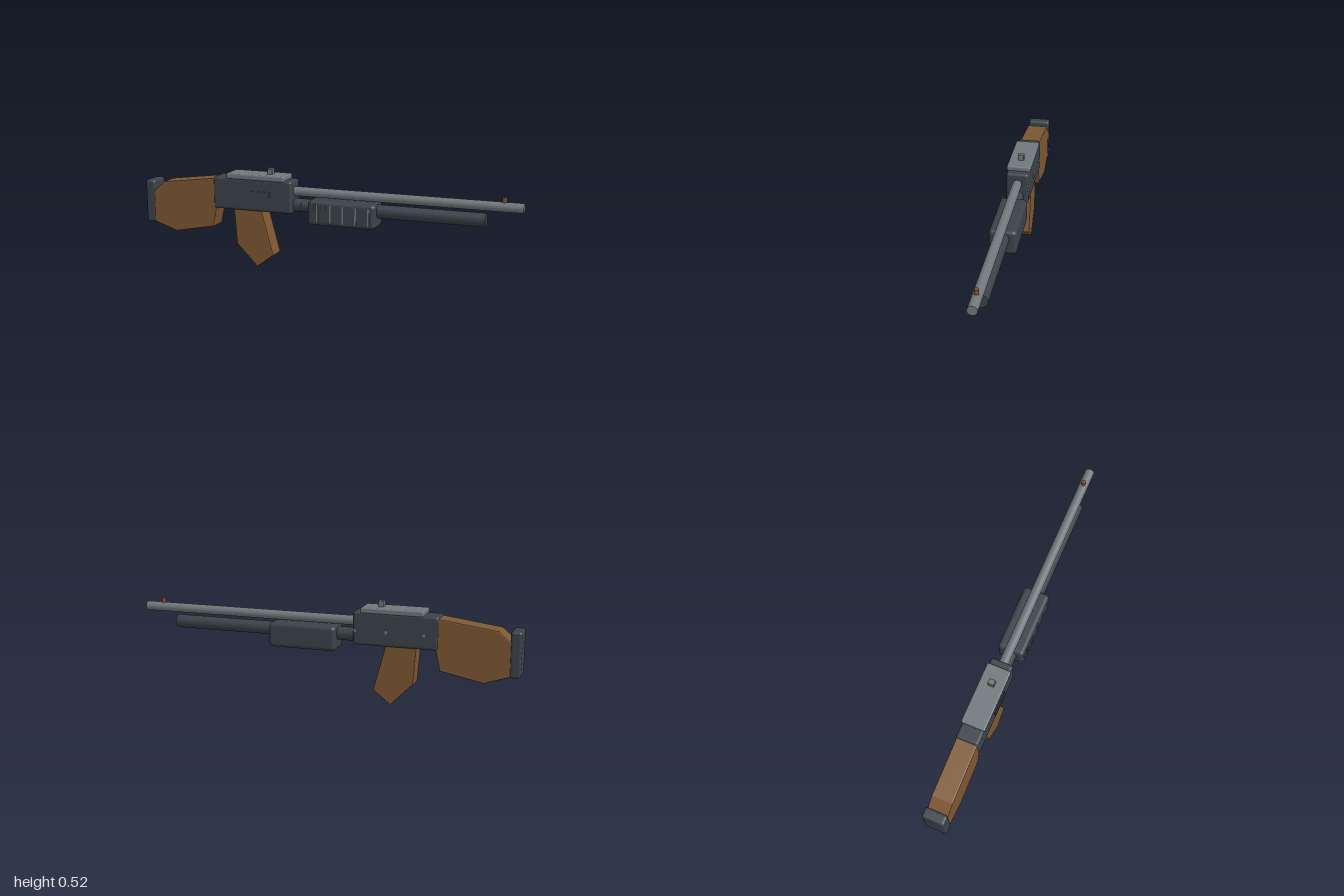
import * as THREE from 'three';
import { RoundedBoxGeometry } from 'three/addons/geometries/RoundedBoxGeometry.js';

const mat = (name, color) => Object.assign(new THREE.MeshStandardMaterial({ color }), { name });

export function createModel() {
  const root = new THREE.Group();
  root.name = 'shotgun';
  const gunmetal = mat('gunmetal', 0x3b4249);
  const steel = mat('steel', 0x70787b);
  const wood = mat('wood', 0x7d5732);

  const add = (name, geometry, material, x = 0, y = 0, z = 0) => {
    const mesh = new THREE.Mesh(geometry, material);
    mesh.name = name;
    mesh.position.set(x, y, z);
    root.add(mesh);
    return mesh;
  };

  // Box given by its x and y limits, with rounded edges
  const block = (name, material, x0, x1, y0, y1, depth, radius, z = 0) =>
    add(name, new RoundedBoxGeometry(x1 - x0, y1 - y0, depth, 3, radius),
      material, (x0 + x1) / 2, (y0 + y1) / 2, z);

  // Round bar lying along x
  const bar = (name, material, x0, x1, y, radius) =>
    add(name, new THREE.CylinderGeometry(radius, radius, x1 - x0, 32).rotateZ(-Math.PI / 2),
      material, (x0 + x1) / 2, y);

  // Side outline extruded across z with a small bevel
  const slab = (name, points, depth) => {
    const bevel = 0.006;
    const shape = new THREE.Shape(points.map(([x, y]) => new THREE.Vector2(x, y)));
    const geometry = new THREE.ExtrudeGeometry(shape, {
      depth: depth - 2 * bevel, bevelThickness: bevel, bevelSize: bevel,
      bevelOffset: -bevel, bevelSegments: 2,
    });
    geometry.translate(0, 0, bevel - depth / 2);
    return add(name, geometry, wood);
  };

  // Receiver with top cover and rear sight
  block('receiver', gunmetal, -0.6, -0.165, 0.298, 0.466, 0.116, 0.014);
  block('topCover', steel, -0.525, -0.205, 0.46, 0.489, 0.124, 0.008);
  block('rearSight', steel, -0.312, -0.284, 0.484, 0.519, 0.032, 0.003);

  // Ejection port on the left side of the receiver
  add('ejectionPort', new THREE.BoxGeometry(0.12, 0.052, 0.008), gunmetal, -0.343, 0.378, 0.058);

  // Receiver pins on the other side
  for (const x of [-0.53, -0.34, -0.18]) {
    add('receiverPin', new THREE.CylinderGeometry(0.009, 0.009, 0.012, 16).rotateX(Math.PI / 2),
      steel, x, 0.372, -0.058);
  }

  // Barrel with front bead, magazine tube
  bar('barrel', steel, -0.2, 1, 0.409, 0.024);
  add('frontSight', new THREE.CylinderGeometry(0.011, 0.011, 0.034, 16), wood, 0.905, 0.44);
  bar('magazineTube', gunmetal, -0.2, 0.82, 0.338, 0.034);

  // Sliding fore-end with grip ribs
  block('foreEnd', gunmetal, -0.075, 0.28, 0.254, 0.38, 0.138, 0.02);
  for (let i = 0; i < 5; i++) {
    add('foreEndRib', new THREE.BoxGeometry(0.008, 0.09, 0.008), steel, -0.02 + i * 0.067, 0.317, 0.068);
  }
  // Short pins beside the fore-end
  for (const x of [-0.107, -0.06, -0.035, -0.005, 0.02]) {
    add('sidePin', new THREE.CylinderGeometry(0.004, 0.004, 0.04, 8), steel, x, 0.347, 0.068);
  }

  // Wooden stock and pistol grip
  slab('stock', [
    [-0.96, 0.2], [-0.825, 0.154], [-0.608, 0.197], [-0.585, 0.3],
    [-0.585, 0.458], [-0.89, 0.418], [-0.96, 0.36],
  ], 0.108);
  slab('grip', [
    [-0.49, 0.31], [-0.475, 0.115], [-0.362, 0], [-0.27, 0.07], [-0.335, 0.31],
  ], 0.098);

  // Butt pad
  block('buttPad', gunmetal, -1, -0.945, 0.193, 0.421, 0.116, 0.014);

  return root;
}
